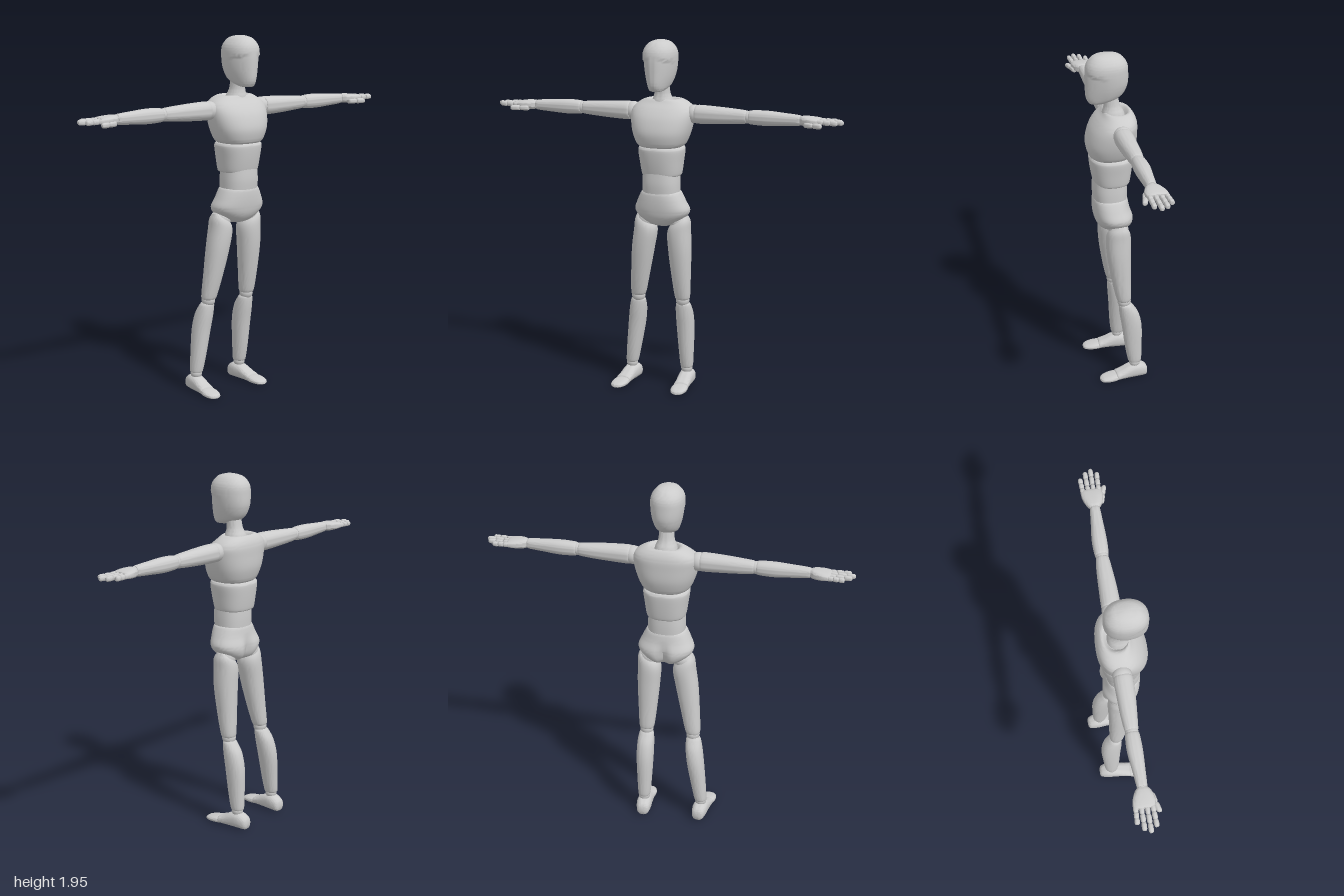
import * as THREE from 'three';
import { toCreasedNormals } from 'three/addons/utils/BufferGeometryUtils.js';

const grey = new THREE.MeshStandardMaterial({ color: 0xcccccc });

// Smooth loft along y through elliptical rows [y, centreX, centreZ, radiusX, radiusZ].
// power 2 gives ellipses, more gives squarer sections; bend(v) may move each vertex.
function loft(name, rows, { power = 2.2, sides = 40, steps = 5, bend } = {}) {
  const pos = [], idx = [], v = new THREE.Vector3();
  const put = (x, y, z) => {
    v.set(x, y, z);
    if (bend) bend(v);
    pos.push(v.x, v.y, v.z);
  };
  const rings = [];
  for (let i = 0; i < rows.length - 1; i++) {
    const p0 = rows[Math.max(i - 1, 0)], p1 = rows[i], p2 = rows[i + 1];
    const p3 = rows[Math.min(i + 2, rows.length - 1)];
    for (let s = 0; s < steps; s++) {
      const t = s / steps;
      rings.push(p1.map((b, k) => {
        const a = p0[k], c = p2[k], d = p3[k];
        return b + 0.5 * t * (c - a + t * (2 * a - 5 * b + 4 * c - d + t * (3 * (b - c) + d - a)));
      }));
    }
  }
  rings.push(rows[rows.length - 1]);
  const round = (c) => Math.sign(c) * Math.abs(c) ** (2 / power);
  for (const [y, cx, cz, rx, rz] of rings) {
    for (let j = 0; j < sides; j++) {
      const a = (j / sides) * Math.PI * 2;
      put(cx + rx * round(Math.cos(a)), y, cz + rz * round(Math.sin(a)));
    }
  }
  const last = rings.length - 1, base = rings.length * sides;
  for (const r of [rings[0], rings[last]]) put(r[1], r[0], r[2]);
  for (let j = 0; j < sides; j++) {
    const k = (j + 1) % sides;
    for (let i = 0; i < last; i++) {
      const a = i * sides + j, b = i * sides + k;
      idx.push(a, a + sides, b, b, a + sides, b + sides);
    }
    idx.push(base, j, k, base + 1, last * sides + k, last * sides + j);
  }
  const g = new THREE.BufferGeometry();
  g.setAttribute('position', new THREE.Float32BufferAttribute(pos, 3));
  g.setIndex(idx);
  const mesh = new THREE.Mesh(toCreasedNormals(g, 0.75), grey);
  mesh.name = name;
  return mesh;
}

function ball(name, r, x, y, z) {
  const m = new THREE.Mesh(new THREE.SphereGeometry(r, 24, 16), grey);
  m.name = name;
  m.position.set(x, y, z);
  return m;
}

function group(name, ...parts) {
  const g = new THREE.Group();
  g.name = name;
  if (parts.length) g.add(...parts);
  return g;
}

function torso() {
  // narrower face below a brow edge
  const face = (v) => {
    if (v.z > 0.05 && v.y < 1.875 - 0.4 * Math.abs(v.x)) v.x *= 1 - 1.8 * (v.z - 0.05);
  };
  // cleft between the buttocks
  const cleft = (v) => {
    const h = THREE.MathUtils.smoothstep(1.1 - v.y, 0, 0.1);
    if (v.z < 0) v.z += 0.028 * h * Math.exp(-((v.x / 0.03) ** 2)) * Math.min(1, -v.z / 0.05);
  };
  return group('torso',
    loft('head', [
      [1.683, 0, 0.1, 0.025, 0.03], [1.69, 0, 0.095, 0.044, 0.047], [1.72, 0, 0.063, 0.062, 0.093],
      [1.78, 0, 0.048, 0.08, 0.112], [1.85, 0, 0.046, 0.089, 0.114], [1.9, 0, 0.045, 0.084, 0.106],
      [1.938, 0, 0.045, 0.056, 0.074], [1.952, 0, 0.045, 0.022, 0.03],
    ], { bend: face, steps: 7, sides: 56 }),
    loft('neck', [
      [1.6, 0, 0.01, 0.064, 0.064], [1.63, 0, 0.012, 0.056, 0.056],
      [1.67, 0, 0.018, 0.042, 0.042], [1.75, 0, 0.03, 0.038, 0.038],
    ]),
    loft('chest', [
      [1.382, 0, 0.03, 0.112, 0.105], [1.4, 0, 0.03, 0.133, 0.118], [1.46, 0, 0.026, 0.158, 0.132],
      [1.53, 0, 0.015, 0.173, 0.124], [1.58, 0, 0, 0.172, 0.108], [1.615, 0, -0.01, 0.14, 0.086],
      [1.636, 0, -0.008, 0.088, 0.066], [1.61, 0, 0, 0.06, 0.05],
    ], { power: 2.4 }),
    loft('abdomen', [
      [1.222, 0, 0.022, 0.097, 0.09], [1.232, 0, 0.022, 0.107, 0.098], [1.3, 0, 0.024, 0.117, 0.11],
      [1.365, 0, 0.025, 0.125, 0.116], [1.382, 0, 0.025, 0.115, 0.108],
    ], { power: 2.4 }),
    loft('waist', [
      [1.12, 0, 0.03, 0.102, 0.09], [1.18, 0, 0.032, 0.102, 0.093], [1.24, 0, 0.032, 0.098, 0.09],
    ], { power: 2.4 }),
    loft('pelvis', [
      [0.942, 0, 0.005, 0.045, 0.045], [0.958, 0, 0.006, 0.078, 0.078], [0.99, 0, 0.01, 0.128, 0.098],
      [1.03, 0, 0.015, 0.154, 0.104], [1.08, 0, 0.026, 0.135, 0.098], [1.125, 0, 0.03, 0.113, 0.093],
      [1.136, 0, 0.03, 0.104, 0.086],
    ], { bend: cleft, power: 2.3, sides: 56 }));
}

// Arm built along +y, then laid along the x axis; s is +1 for left, -1 for right.
function arm(s) {
  const side = s > 0 ? 'left' : 'right';
  const hand = group(side + 'Hand', loft('palm', [
    [0.77, 0, 0.005, 0.022, 0.026], [0.79, 0, 0.005, 0.026, 0.042], [0.83, 0, 0.003, 0.024, 0.056],
    [0.865, 0, 0.0, 0.019, 0.056], [0.875, 0, 0.0, 0.014, 0.05],
  ], { power: 2.5 }));
  const digit = (name, x0, x1, z0, z1, r, drop, joints) => {
    for (let i = 0; i < joints; i++) {
      const at = (t) => [x0 + (x1 - x0) * t, s * drop, z0 + (z1 - z0) * t];
      const row = (t, k) => [...at((i + t) / joints), r * k, r * k];
      hand.add(loft(name + 'Segment', [row(0, 0.6), row(0.12, 0.95), row(0.8, 0.92), row(1, 0.5)],
        { sides: 14, steps: 3 }));
    }
  };
  [[-0.043, 0.95], [-0.015, 0.985], [0.013, 1.0], [0.041, 0.975]].forEach(([z, end]) =>
    digit('finger', 0.862, end, z, z * 1.1, 0.0135, 0, 3));
  digit('thumb', 0.8, 0.9, 0.045, 0.072, 0.015, 0.016, 2);
  const g = group(side + 'Arm',
    ball('shoulderJoint', 0.05, 0, 0.178, 0),
    loft('upperArm', [
      [0.192, 0, 0.002, 0.042, 0.042], [0.202, 0, 0.002, 0.05, 0.05], [0.3, 0, 0.002, 0.047, 0.048],
      [0.4, 0, 0, 0.041, 0.042], [0.468, 0, 0, 0.035, 0.035], [0.478, 0, 0, 0.028, 0.028],
    ]),
    ball('elbowJoint', 0.034, 0, 0.484, 0),
    loft('forearm', [
      [0.49, 0, 0, 0.03, 0.03], [0.5, 0, 0, 0.037, 0.037], [0.58, 0, 0, 0.04, 0.04],
      [0.68, 0, 0.003, 0.034, 0.033], [0.76, 0, 0.005, 0.028, 0.027], [0.768, 0, 0.005, 0.022, 0.022],
    ]),
    ball('wristJoint', 0.024, 0, 0.772, 0.005), hand);
  g.rotation.z = -s * Math.PI / 2;
  g.position.y = 1.56;
  return g;
}

// Leg from hip to foot; s is the side, x values are signed, dz moves the ankle forward.
function leg(s, hip, knee, ankle, dz, turn) {
  const side = s > 0 ? 'left' : 'right';
  const mix = THREE.MathUtils.lerp;
  const thighX = (y) => mix(knee, hip, (y - 0.52) / 0.43);
  const shinX = (y) => mix(ankle, knee, (y - 0.1) / 0.42);
  const thigh = [
    [0.52, -0.025, 0.032, 0.032], [0.535, -0.025, 0.042, 0.041], [0.65, -0.012, 0.052, 0.053],
    [0.8, 0, 0.062, 0.065], [0.91, 0.003, 0.063, 0.068],
  ].map(([y, z, rx, rz]) => [y, thighX(y), z, rx, rz]);
  thigh.push([0.965, hip + s * 0.018, 0.004, 0.045, 0.055], [0.998, hip + s * 0.034, 0.004, 0.018, 0.025]);
  const shin = [
    [0.105, -0.09, 0.027, 0.03], [0.115, -0.09, 0.034, 0.038], [0.2, -0.083, 0.04, 0.047],
    [0.34, -0.073, 0.047, 0.056], [0.43, -0.056, 0.047, 0.053], [0.485, -0.037, 0.041, 0.038],
    [0.502, -0.033, 0.03, 0.028],
  ].map(([y, z, rx, rz]) => [y, shinX(y), z + dz * (0.5 - y) / 0.4, rx, rz]);

  // Foot runs along z; each row is [z, height of centre, half width, half height]
  const along = (name, rows) => {
    const m = loft(name, rows.map(([z, y, w, h]) => [z, 0, -y, w, h]), { power: 2.5 });
    m.rotation.x = Math.PI / 2;
    return m;
  };
  const foot = group(side + 'Foot',
    along('footBody', [
      [-0.073, 0.032, 0.018, 0.018], [-0.062, 0.036, 0.033, 0.035], [-0.02, 0.045, 0.042, 0.044],
      [0.03, 0.041, 0.041, 0.04], [0.08, 0.03, 0.041, 0.028], [0.108, 0.025, 0.042, 0.022],
      [0.114, 0.023, 0.034, 0.016],
    ]),
    along('toes', [
      [0.1, 0.021, 0.034, 0.016], [0.115, 0.021, 0.043, 0.02], [0.155, 0.018, 0.045, 0.017],
      [0.192, 0.014, 0.032, 0.012], [0.204, 0.012, 0.012, 0.006],
    ]));
  foot.position.set(ankle, 0, -0.09 + dz);
  foot.rotation.y = turn;

  return group(side + 'Leg',
    ball('hipJoint', 0.055, hip, 0.965, 0.003),
    loft('thigh', thigh),
    ball('kneeJoint', 0.038, knee, 0.513, -0.028),
    loft('shin', shin),
    ball('ankleJoint', 0.032, ankle, 0.098, -0.09 + dz),
    foot);
}

export function createModel() {
  return group('jointedMannequin', torso(), arm(1), arm(-1),
    leg(1, 0.092, 0.102, 0.103, 0, 0.08),
    leg(-1, -0.1, -0.165, -0.223, 0.025, -0.08));
}
